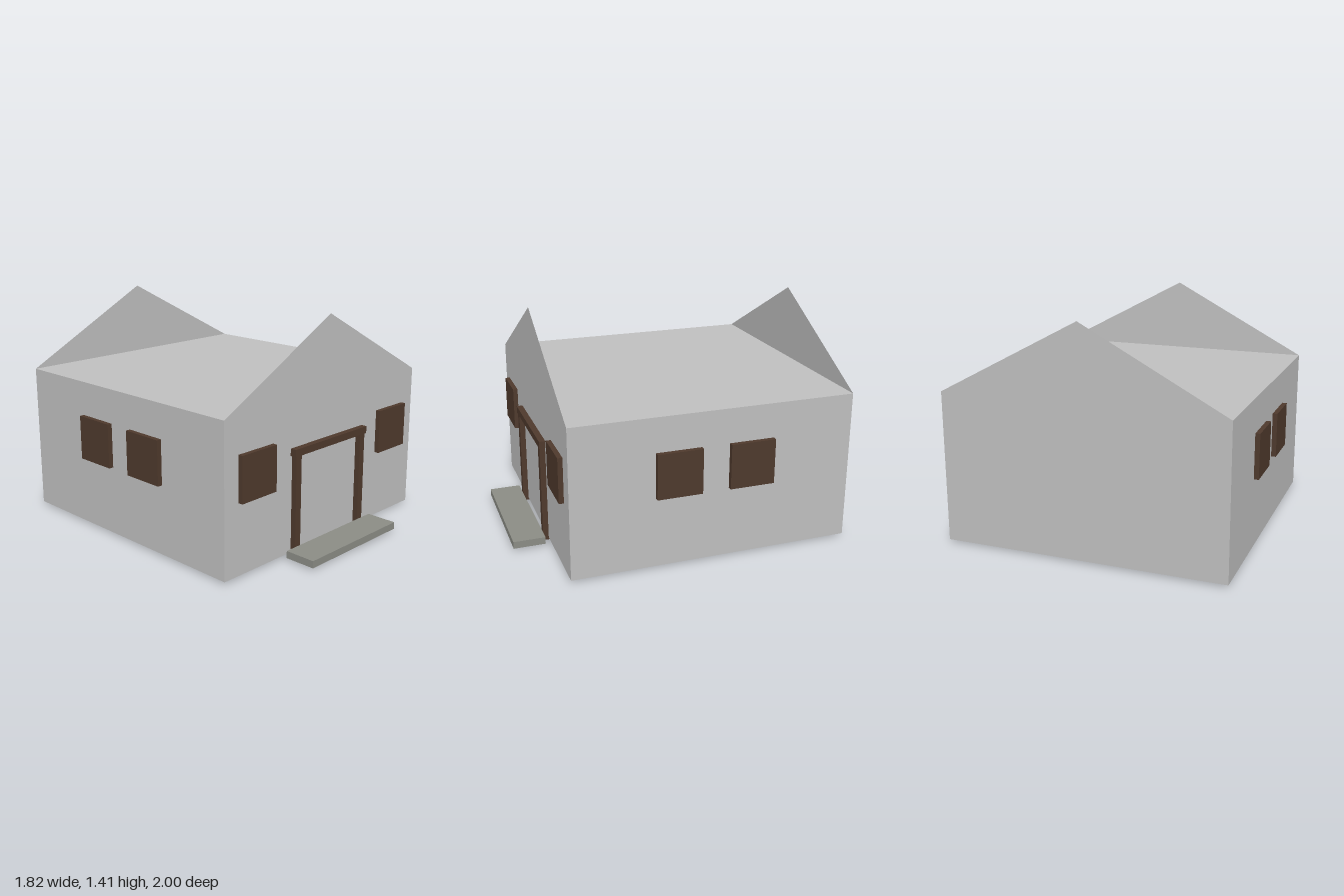
import * as THREE from 'three';

const wallMat = new THREE.MeshStandardMaterial({ color: 0xbfbfbf, side: THREE.DoubleSide });
wallMat.name = 'wallGrey';
const woodMat = new THREE.MeshStandardMaterial({ color: 0x4e392c });
woodMat.name = 'darkWood';
const stoneMat = new THREE.MeshStandardMaterial({ color: 0x8b8c85 });
stoneMat.name = 'stepStone';

// Box given by its min and max corners
function block(name, mat, [x0, y0, z0], [x1, y1, z1]) {
  const mesh = new THREE.Mesh(new THREE.BoxGeometry(x1 - x0, y1 - y0, z1 - z0), mat);
  mesh.position.set((x0 + x1) / 2, (y0 + y1) / 2, (z0 + z1) / 2);
  mesh.name = name;
  return mesh;
}

export function createModel() {
  const house = new THREE.Group();
  house.name = 'house';

  const halfW = 0.88, base = 0.015, eave = 0.948, peak = 1.415, front = 0.763, back = -1;

  // Flat-topped body
  house.add(block('body', wallMat, [-halfW, base, back], [halfW, eave, front]));

  // Thin gable sheets standing on the front and back walls
  const gableShape = new THREE.Shape([
    new THREE.Vector2(-halfW, eave),
    new THREE.Vector2(halfW, eave),
    new THREE.Vector2(0, peak),
  ]);
  for (const [name, z, turn] of [['frontGable', front, 0], ['backGable', back, Math.PI]]) {
    const gable = new THREE.Mesh(new THREE.ShapeGeometry(gableShape), wallMat);
    gable.name = name;
    gable.position.z = z;
    gable.rotation.y = turn;
    house.add(gable);
  }

  // Shutters on the front and both sides, and door posts
  for (const [side, s] of [['left', 1], ['right', -1]]) {
    const span = (a, b) => (s > 0 ? [a, b] : [-b, -a]);

    const [fx0, fx1] = span(0.49, 0.77);
    house.add(block(side + 'FrontWindow', woodMat, [fx0, 0.453, front - 0.03], [fx1, 0.733, 0.793]));

    const [sx0, sx1] = span(halfW - 0.03, 0.91);
    for (const z of [0.11, -0.345]) {
      house.add(block(side + 'SideWindow', woodMat, [sx0, 0.453, z - 0.14], [sx1, 0.733, z + 0.14]));
    }

    const [px0, px1] = span(0.28, 0.325);
    house.add(block(side + 'DoorPost', woodMat, [px0, 0, front - 0.005], [px1, 0.625, 0.798]));
  }

  // Lintel and front step
  house.add(block('doorLintel', woodMat, [-0.338, 0.623, front - 0.005], [0.338, 0.668, 0.802]));
  house.add(block('frontStep', stoneMat, [-0.402, base, 0.8], [0.402, 0.06, 1]));

  return house;
}
